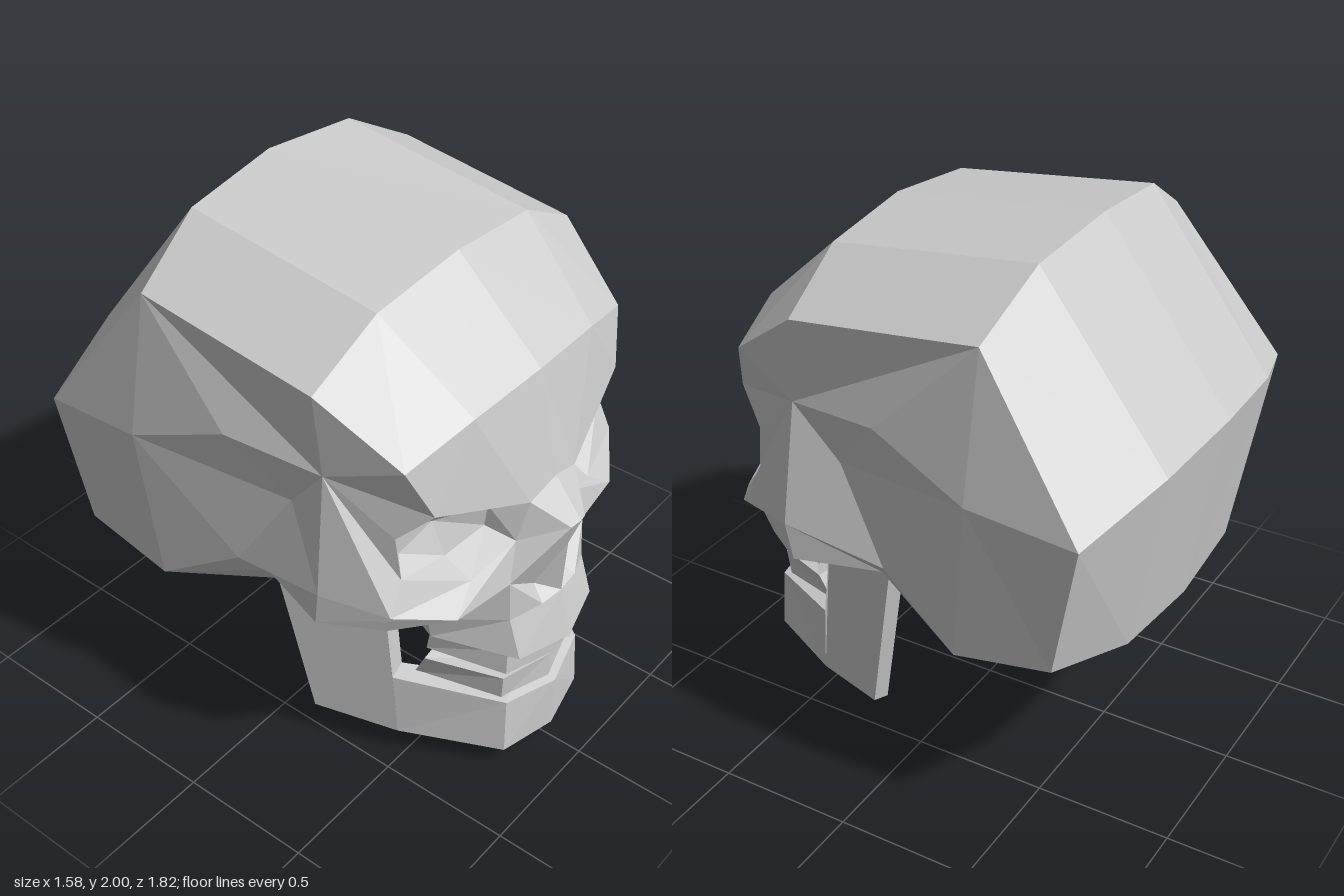
import * as THREE from 'three';

const material = new THREE.MeshStandardMaterial({ color: 0xcccccc, flatShading: true });

// Collects triangles of the left half and their mirror images
class Half {
  constructor() { this.pos = []; }
  tri(a, b, c) {
    const m = ([x, y, z]) => [-x, y, z];
    this.pos.push(...a, ...b, ...c, ...m(a), ...m(c), ...m(b));
  }
  // flat-ish polygon, corners counter-clockwise from outside
  fan(...p) {
    for (let i = 1; i < p.length - 1; i++) this.tri(p[0], p[i], p[i + 1]);
  }
  // closed fan around a middle point
  around(c, ring) {
    ring.forEach((p, i) => this.tri(c, p, ring[(i + 1) % ring.length]));
  }
  // rows of points, each running from the mid-plane outwards
  loft(rows) {
    for (let i = 0; i < rows.length - 1; i++)
      for (let j = 0; j < rows[i].length - 1; j++) {
        const a = rows[i][j], b = rows[i][j + 1], c = rows[i + 1][j], d = rows[i + 1][j + 1];
        this.tri(a, b, c);
        this.tri(b, d, c);
      }
  }
  // solid bar bent around the jaw: four long edges and an end cap
  bar(outBottom, outTop, inTop, inBottom) {
    this.loft([outBottom, outTop, inTop, inBottom, outBottom]);
    const e = outBottom.length - 1;
    this.fan(outBottom[e], inBottom[e], inTop[e], outTop[e]);
  }
  mesh(name) {
    const g = new THREE.BufferGeometry();
    g.setAttribute('position', new THREE.Float32BufferAttribute(this.pos, 3));
    g.computeVertexNormals();
    const mesh = new THREE.Mesh(g, material);
    mesh.name = name;
    return mesh;
  }
}

// Landmarks shared by several parts
const glabella = [0, 1.21, 0.8];
const rim = [ // eye socket rim, from inner brow over the top and round below
  [0.13, 1.17, 0.79], [0.52, 1.31, 0.69], [0.58, 1.2, 0.58],
  [0.57, 1.03, 0.6], [0.35, 0.94, 0.72], [0.17, 1.02, 0.77],
];
const foreheadEdge = [0.6, 1.5, 0.63];
const temple = [0.67, 1.4, 0.36], templeBack = [0.735, 1.43, 0], templePit = [0.64, 1.2, 0.2];
const archTop = [0.73, 0.95, 0.38], archLow = [0.72, 0.81, 0.36];
const archEnd = [0.7, 0.88, 0], archUnder = [0.62, 0.8, 0.06];
const skullCorner = [0.76, 0.68, -0.31];
const noseTop = [0, 1.07, 0.91], noseBase = [0, 0.73, 0.86];
const maxillaFront = [0.22, 0.71, 0.8], maxillaSide = [0.38, 0.7, 0.57];
const gum = [[0, 0.54, 0.91], [0.22, 0.555, 0.85], [0.36, 0.6, 0.57]];
const palate = [[0, 0.6, 0.45], [0.2, 0.62, 0.45], [0.34, 0.66, 0.45]];

function buildCranium() {
  const h = new Half();
  const ribs = [
    [glabella, rim[0], rim[1]],
    [[0, 1.6, 0.71], [0.33, 1.58, 0.69], foreheadEdge],
    [[0, 1.91, 0.37], [0.4, 1.87, 0.36], [0.69, 1.71, 0.34]],
    [[0, 2, -0.43], [0.4, 1.96, -0.41], [0.69, 1.79, -0.37]],
    [[0, 1.37, -0.91], [0.4, 1.34, -0.88], [0.78, 1.24, -0.77]],
    [[0, 0.65, -0.79], [0.4, 0.67, -0.77], [0.75, 0.74, -0.67]],
    [[0, 0.45, -0.37], [0.4, 0.52, -0.36], skullCorner],
    [[0, 0.49, 0.1], [0.3, 0.54, 0.1], archUnder],
    palate,
    gum,
  ];
  h.loft(ribs);
  const edge = ribs.map((r) => r[2]);
  // side wall bulging behind the temple
  h.around([0.79, 1.28, -0.37],
    [edge[3], templeBack, templePit, archEnd, skullCorner, edge[5], edge[4]]);
  // temple
  h.fan(edge[3], edge[2], temple, templeBack);
  h.fan(edge[2], foreheadEdge, temple);
  h.fan(temple, templePit, templeBack);
  h.fan(temple, archTop, templePit);
  h.fan(templePit, archTop, archEnd);
  h.fan(archEnd, archUnder, skullCorner);
  return h.mesh('cranium');
}

function buildFace() {
  const h = new Half();
  const [innerBrow, outerBrow, outer, outerLow, low, inner] = rim;
  const bridge = [0.04, 1.06, 0.9], nostril = [0.22, 0.87, 0.79];
  const cheek = [0.46, 0.86, 0.75], cheekOuter = [0.65, 0.93, 0.62], cheekUnder = [0.58, 0.78, 0.55];
  // nose bridge, cheek and brow side
  h.fan(glabella, noseTop, bridge, innerBrow);
  h.fan(innerBrow, bridge, inner);
  h.fan(bridge, nostril, inner);
  h.fan(inner, nostril, cheek, low);
  h.fan(low, cheek, cheekOuter, outerLow);
  h.fan(temple, foreheadEdge, outerBrow, outer, outerLow, cheekOuter, archTop);
  h.fan(cheek, cheekUnder, archLow, archTop, cheekOuter);
  // cheek arch
  h.fan(archTop, archLow, archUnder, archEnd);
  h.fan(cheekUnder, maxillaSide, archUnder, archLow);
  // nose opening with its central ridge
  const ridge = [0, 0.95, 0.87], pit = [0.07, 0.77, 0.79], sill = [0.1, 0.73, 0.85];
  h.fan(noseTop, ridge, bridge);
  h.fan(bridge, ridge, pit, nostril);
  h.fan(nostril, pit, sill);
  h.fan(ridge, noseBase, pit);
  h.fan(pit, noseBase, sill);
  // upper jaw
  h.fan(noseBase, maxillaFront, sill);
  h.fan(nostril, sill, maxillaFront);
  h.fan(nostril, maxillaFront, maxillaSide, cheek);
  h.fan(cheek, maxillaSide, cheekUnder);
  h.loft([gum, [noseBase, maxillaFront, maxillaSide]]);
  h.fan(maxillaSide, gum[2], palate[2], archUnder);
  return h.mesh('face');
}

function buildEyeSockets() {
  const h = new Half();
  const floor = [
    [0.2, 1.14, 0.67], [0.46, 1.24, 0.59], [0.52, 1.18, 0.54],
    [0.51, 1.07, 0.54], [0.35, 0.99, 0.61], [0.2, 1.05, 0.66],
  ];
  rim.forEach((p, i) => {
    const n = (i + 1) % rim.length;
    h.fan(p, floor[i], floor[n], rim[n]);
  });
  h.around([0.36, 1.12, 0.56], [...floor].reverse());
  return h.mesh('eyeSockets');
}

function buildTeeth(name, bottom, top) {
  const h = new Half();
  const inset = (row) => row.map(([x, y, z], i) => [x * 0.78, y, z - (i < 2 ? 0.1 : 0.01)]);
  h.bar(bottom, top, inset(top), inset(bottom));
  return h.mesh(name);
}

function buildLowerJaw() {
  const h = new Half();
  // chin, chin side, foot and head of the upright's front edge, rear edge
  h.bar(
    [[0, 0.07, 0.87], [0.23, 0.08, 0.82], [0.42, 0.11, 0.48], [0.42, 0.11, 0.48], [0.53, 0.14, 0.18]],
    [[0, 0.29, 0.87], [0.22, 0.31, 0.81], [0.43, 0.38, 0.46], [0.43, 0.73, 0.42], [0.58, 0.77, 0.06]],
    [[0, 0.33, 0.72], [0.17, 0.33, 0.68], [0.35, 0.38, 0.44], [0.35, 0.73, 0.4], [0.5, 0.77, 0.05]],
    [[0, 0, 0.69], [0.28, 0.05, 0.62], [0.35, 0.08, 0.44], [0.35, 0.08, 0.44], [0.46, 0.12, 0.17]],
  );
  return h.mesh('lowerJaw');
}

export function createModel() {
  const skull = new THREE.Group();
  skull.name = 'skull';
  skull.add(
    buildCranium(),
    buildFace(),
    buildEyeSockets(),
    buildTeeth('upperTeeth',
      [[0, 0.435, 0.86], [0.22, 0.45, 0.8], [0.34, 0.51, 0.54]],
      [[0, 0.55, 0.86], [0.22, 0.565, 0.8], [0.35, 0.6, 0.56]]),
    buildTeeth('lowerTeeth',
      [[0, 0.28, 0.84], [0.21, 0.3, 0.78], [0.34, 0.36, 0.49]],
      [[0, 0.405, 0.84], [0.22, 0.42, 0.79], [0.35, 0.465, 0.54]]),
    buildLowerJaw(),
  );
  return skull;
}
